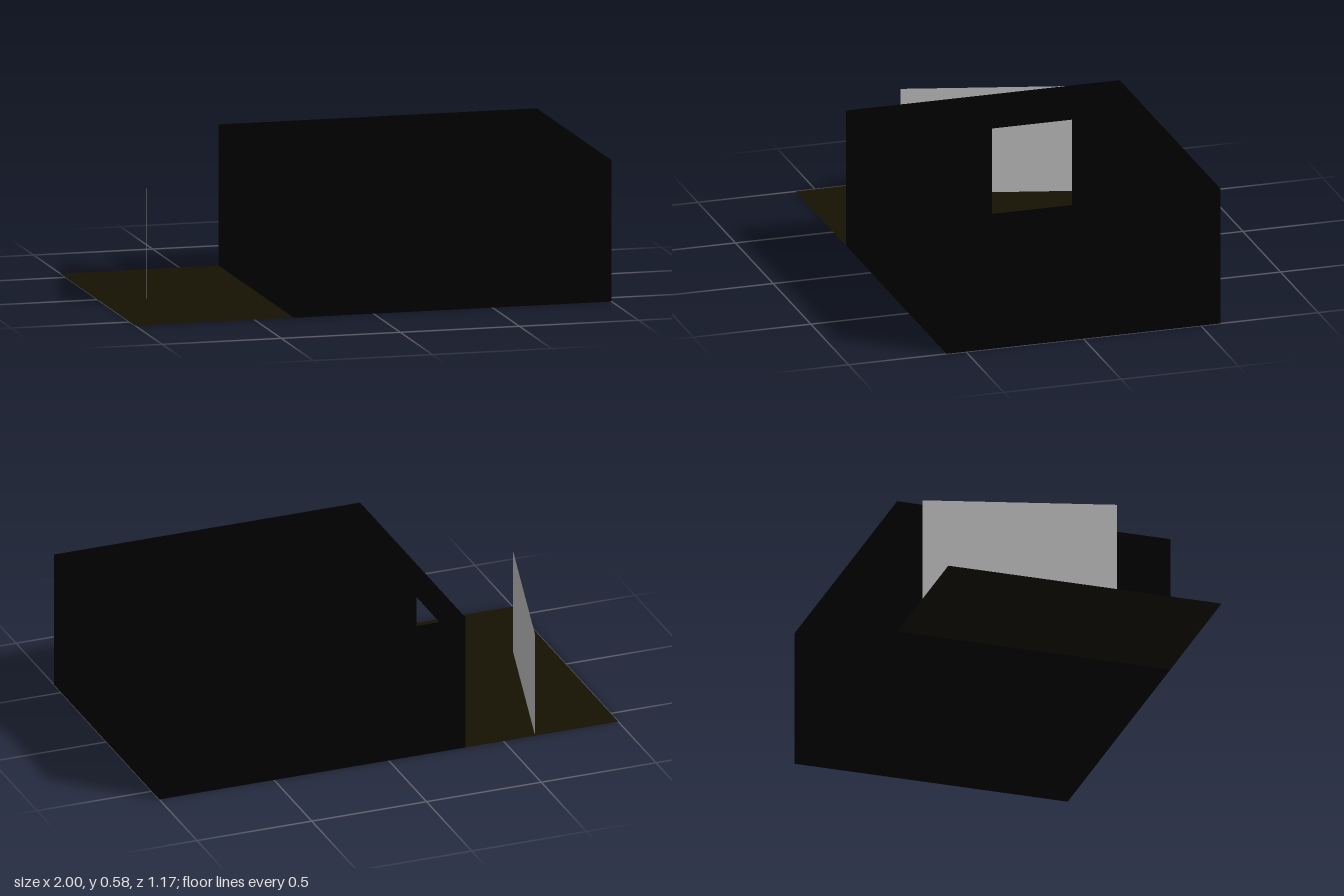
import * as THREE from 'three';

const X0 = -0.335, X1 = 1, Z = 0.583, H = 0.583;

function material(color) {
  return new THREE.MeshStandardMaterial({ color, side: THREE.DoubleSide });
}

export function createModel() {
  const model = new THREE.Group();
  const black = material(0x000000);
  const brown = material(0x171202);
  const grey = material(0xcccccc);

  const add = (name, geometry, mat, x, y, z, turn = 0) => {
    const mesh = new THREE.Mesh(geometry, mat);
    mesh.name = name;
    mesh.position.set(x, y, z);
    mesh.rotation.y = turn;
    model.add(mesh);
    return mesh;
  };

  // Upright sheet standing between two floor points
  const sheet = (name, mat, xa, za, xb, zb, height) =>
    add(name, new THREE.PlaneGeometry(Math.hypot(xb - xa, zb - za), height), mat,
      (xa + xb) / 2, height / 2, (za + zb) / 2, Math.atan2(za - zb, xb - xa));

  // Floors: dark inside the room, brown yard in front of the doorway
  const floor = (name, mat, xa, xb) =>
    add(name, new THREE.PlaneGeometry(xb - xa, 2 * Z).rotateX(-Math.PI / 2), mat, (xa + xb) / 2, 0, 0);
  floor('roomFloor', black, X0, X1);
  floor('yardFloor', brown, -1, X0);

  // Three solid walls
  sheet('frontWall', black, X0, Z, X1, Z, H);
  sheet('sideWall', black, X1, Z, X1, -Z, H);
  sheet('backWall', black, X1, -Z, X0, -Z, H);

  // Wall with a doorway cut up from the floor (shape x runs along z)
  const doorA = -0.38, doorB = -0.04, doorH = 0.435;
  const outline = [[-Z, 0], [doorA, 0], [doorA, doorH], [doorB, doorH], [doorB, 0], [Z, 0], [Z, H], [-Z, H]];
  const wall = new THREE.Shape(outline.map(([x, y]) => new THREE.Vector2(x, y)));
  add('doorwayWall', new THREE.ShapeGeometry(wall), black, X0, 0, 0, -Math.PI / 2);

  // Free-standing panel in the yard
  sheet('yardPanel', grey, -0.845, 0.187, -0.64, -0.575, 0.453);

  // Small slab set across the room corner
  add('cornerScreen', new THREE.BoxGeometry(0.25, 0.163, 0.02), grey,
    0.882, 0.0815, 0.489, Math.atan2(0.155, 0.205));

  return model;
}
